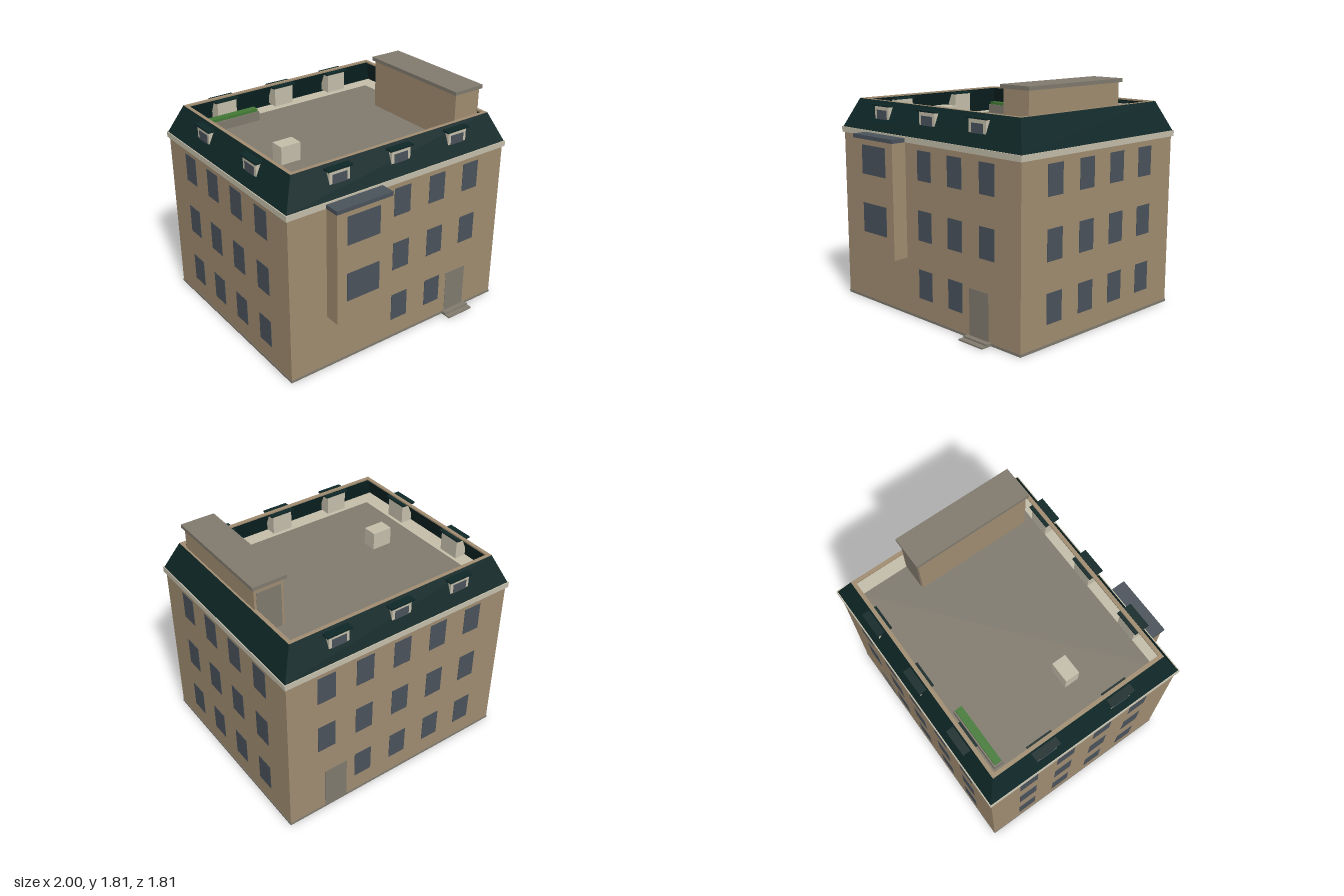
import * as THREE from 'three';

const mat = (name, color, side = THREE.FrontSide) => {
  const m = new THREE.MeshStandardMaterial({ color, side });
  m.name = name;
  return m;
};

export function createModel() {
  const wall = mat('tan wall', 0xa08c70);
  const stone = mat('grey stone', 0x807a6e);
  const glass = mat('blue grey glass', 0x4a525b);
  const trim = mat('cream trim', 0xc3bda9);
  const slate = mat('dark green slate', 0x0f2727, THREE.DoubleSide);
  const leaf = mat('hedge green', 0x437a35);

  const root = new THREE.Group();
  root.name = 'building';

  // Box given by its limits on each axis
  const box = (name, m, x0, x1, y0, y1, z0, z1, parent = root) => {
    const mesh = new THREE.Mesh(new THREE.BoxGeometry(x1 - x0, y1 - y0, z1 - z0), m);
    mesh.position.set((x0 + x1) / 2, (y0 + y1) / 2, (z0 + z1) / 2);
    mesh.name = name;
    parent.add(mesh);
    return mesh;
  };

  const W = 0.985, BACK = -0.89, FRONT = 0.77, MID = -0.06;

  // Main body
  box('plinth', stone, -0.988, 0.988, 0, 0.02, BACK - 0.003, FRONT + 0.003);
  box('walls', wall, -W, W, 0.02, 1.34, BACK, FRONT);
  box('cornice', trim, -1, 1, 1.34, 1.384, -0.905, 0.785);
  box('roofDeck', stone, -0.86, 0.86, 1.37, 1.39, -0.77, 0.65);

  // Windows: one thin plate per opening on each floor
  const rows = [[0.165, 0.39], [0.615, 0.845], [1.07, 1.295]];
  const cols = [-0.66, -0.33, 0, 0.33, 0.66];
  const T = 0.003;
  rows.forEach(([y0, y1], floor) => {
    cols.forEach((x) => {
      const doorHere = floor === 0 && x > 0.5;
      if (doorHere) return;
      box('backWindow', glass, x - 0.075, x + 0.075, y0, y1, BACK - T, BACK + T);
      if (x > -0.1) box('frontWindow', glass, x - 0.075, x + 0.075, y0, y1, FRONT - T, FRONT + T);
    });
    for (const s of [-1, 1]) {
      for (let i = 0; i < 4; i++) {
        const z = MID + (i - 1.5) * 0.332;
        box('sideWindow', glass, s * W - T, s * W + T, y0, y1, z - 0.077, z + 0.077);
      }
    }
  });

  // Doors and front steps
  box('frontDoor', stone, 0.48, 0.675, 0.02, 0.375, FRONT - T, FRONT + T);
  box('backDoor', stone, 0.48, 0.675, 0.02, 0.375, BACK - T, BACK + T);
  box('lowerStep', stone, 0.46, 0.7, 0, 0.011, FRONT, 0.86);
  box('upperStep', stone, 0.46, 0.7, 0.011, 0.023, FRONT, 0.815);

  // Projecting bay
  box('bay', wall, -0.67, -0.215, 0.45, 1.34, FRONT, 0.893);
  box('bayRoof', glass, -0.682, -0.2, 1.34, 1.37, FRONT, 0.905);
  for (const [y0, y1] of rows.slice(1)) {
    box('bayWindow', glass, -0.585, -0.3, y0, y1, 0.89, 0.895);
  }

  // Mansard slopes: lower and upper rectangles joined by four faces
  const rect = (x, y, z0, z1) => [[-x, y, z1], [x, y, z1], [x, y, z0], [-x, y, z0]];
  const low = rect(0.992, 1.384, -0.897, 0.777);
  const high = rect(0.89, 1.61, -0.8, 0.68);
  const pts = [];
  for (let i = 0; i < 4; i++) {
    const j = (i + 1) % 4;
    pts.push(...low[i], ...low[j], ...high[j], ...low[i], ...high[j], ...high[i]);
  }
  const slopeGeo = new THREE.BufferGeometry();
  slopeGeo.setAttribute('position', new THREE.Float32BufferAttribute(pts, 3));
  slopeGeo.computeVertexNormals();
  const slopes = new THREE.Mesh(slopeGeo, slate);
  slopes.name = 'mansardRoof';
  root.add(slopes);

  // Rim along the top of the slopes
  for (const s of [-1, 1]) {
    box('sideRim', wall, s * 0.875 - 0.015, s * 0.875 + 0.015, 1.6, 1.611, -0.8, 0.68);
    box('endRim', wall, -0.86, 0.86, 1.6, 1.611, MID + s * 0.725 - 0.015, MID + s * 0.725 + 0.015);
  }

  // Dormers, built facing +z with the origin on the roof's inner edge
  const dormer = (x, z, turn) => {
    const g = new THREE.Group();
    g.name = 'dormer';
    box('dormerBox', trim, -0.085, 0.085, 1.42, 1.575, 0, 0.097, g);
    box('dormerCap', slate, -0.104, 0.104, 1.575, 1.588, -0.012, 0.11, g);
    box('dormerWindow', glass, -0.06, 0.06, 1.475, 1.546, 0.095, 0.1, g);
    g.position.set(x, 0, z);
    g.rotation.y = turn;
    root.add(g);
  };
  for (const x of [-0.533, 0, 0.533]) {
    dormer(x, 0.64, 0);
    dormer(x, -0.76, Math.PI);
  }
  for (const z of [-0.385, 0.262]) dormer(-0.853, z, -Math.PI / 2);

  // Stair house on the roof
  box('stairHouse', wall, 0.64, 0.875, 1.385, 1.78, -0.36, 0.59);
  box('stairHouseRoof', stone, 0.62, 0.893, 1.78, 1.808, -0.38, 0.607);
  box('stairHouseDoor', stone, 0.66, 0.855, 1.39, 1.74, -0.364, -0.358);

  // Rooftop planter and vent
  box('planter', stone, -0.805, -0.305, 1.39, 1.465, -0.732, -0.655);
  box('hedge', leaf, -0.795, -0.315, 1.465, 1.488, -0.722, -0.665);
  box('ventBox', trim, -0.615, -0.45, 1.39, 1.53, 0.03, 0.145);

  return root;
}
